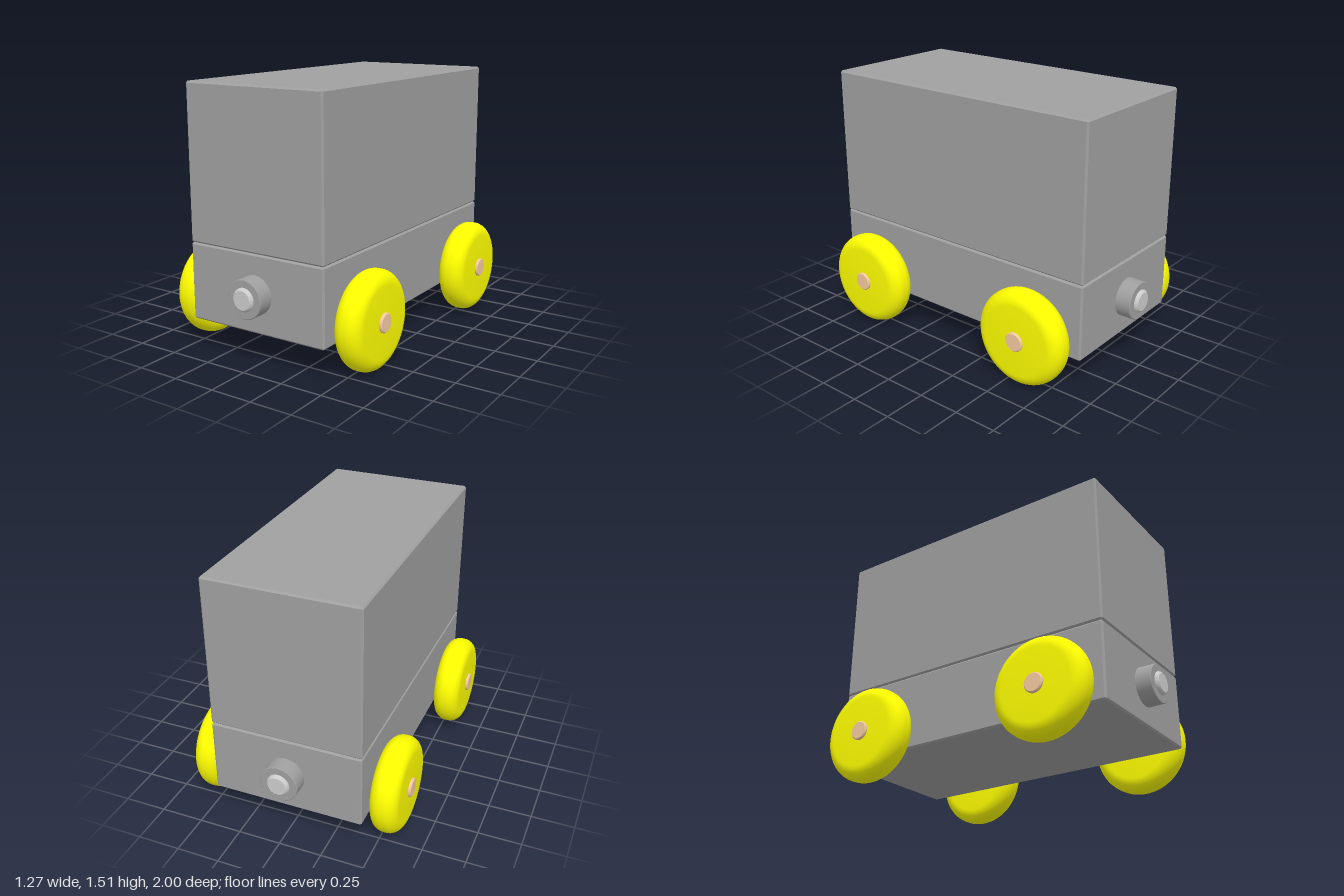
import * as THREE from 'three';
import { toCreasedNormals } from 'three/addons/utils/BufferGeometryUtils.js';
import { ConvexGeometry } from 'three/addons/geometries/ConvexGeometry.js';

const grey = new THREE.MeshStandardMaterial({ color: 0xa0a0a0 });
const lightGrey = new THREE.MeshStandardMaterial({ color: 0xcccccc });
const yellow = new THREE.MeshStandardMaterial({ color: 0xffff00 });
const wood = new THREE.MeshStandardMaterial({ color: 0xf5cba0 });

// Box with flat chamfers: each corner is cut into three points
function chamferedBox(width, height, depth, c) {
  const points = [];
  for (const sx of [-1, 1]) for (const sy of [-1, 1]) for (const sz of [-1, 1]) {
    const x = width / 2, y = height / 2, z = depth / 2;
    points.push(
      new THREE.Vector3(sx * x, sy * (y - c), sz * (z - c)),
      new THREE.Vector3(sx * (x - c), sy * y, sz * (z - c)),
      new THREE.Vector3(sx * (x - c), sy * (y - c), sz * z),
    );
  }
  return new ConvexGeometry(points);
}

// Solid of revolution about y from [radius, height] pairs, bottom to top
function turned(profile) {
  const points = profile.map(([r, y]) => new THREE.Vector2(r, y));
  return toCreasedNormals(new THREE.LatheGeometry(points, 64), 0.5);
}

// Disc with a fully rounded rim
function wheelProfile(radius, width, round) {
  const points = [[0, -width / 2]];
  for (const side of [-1, 1]) {
    for (let i = 0; i <= 10; i++) {
      const a = (side < 0 ? i / 10 - 1 : i / 10) * Math.PI / 2;
      points.push([
        radius - round + round * Math.cos(a),
        side * (width / 2 - round) + round * Math.sin(a),
      ]);
    }
  }
  points.push([0, width / 2]);
  return points;
}

export function createModel() {
  const model = new THREE.Group();
  model.name = 'toyWagon';

  function add(name, geometry, material, x, y, z) {
    const mesh = new THREE.Mesh(geometry, material);
    mesh.name = name;
    mesh.position.set(x, y, z);
    model.add(mesh);
    return mesh;
  }

  // Two stacked blocks with chamfered edges
  add('chassis', chamferedBox(0.886, 0.444, 1.776, 0.01), grey, 0, 0.405, 0);
  add('cargoBlock', chamferedBox(0.886, 0.886, 1.776, 0.01), grey, 0, 1.07, 0);

  // Wheels on through axles
  const wheel = turned(wheelProfile(0.277, 0.165, 0.075));
  const axle = turned([[0, -0.635], [0.049, -0.635], [0.055, -0.629], [0.055, 0.629], [0.049, 0.635], [0, 0.635]]);
  for (const [end, z] of [['front', 0.585], ['rear', -0.585]]) {
    add(end + 'Axle', axle, wood, 0, 0.279, z).rotation.z = -Math.PI / 2;
    for (const [side, x] of [['Left', 0.538], ['Right', -0.538]]) {
      add(end + side + 'Wheel', wheel, yellow, x, 0.278, z).rotation.z = -Math.PI / 2;
    }
  }

  // Couplings: a collar with a lighter raised button at each end
  const collar = turned([[0, -0.02], [0.11, -0.02], [0.11, 0.091], [0.106, 0.095], [0, 0.095]]);
  const button = turned([[0, 0.08], [0.066, 0.08], [0.066, 0.1], [0.063, 0.107], [0.053, 0.115], [0, 0.115]]);
  for (const [end, s] of [['front', 1], ['rear', -1]]) {
    add(end + 'CouplingCollar', collar, grey, 0, 0.402, s * 0.885).rotation.x = s * Math.PI / 2;
    add(end + 'CouplingButton', button, lightGrey, 0, 0.402, s * 0.885).rotation.x = s * Math.PI / 2;
  }

  return model;
}
